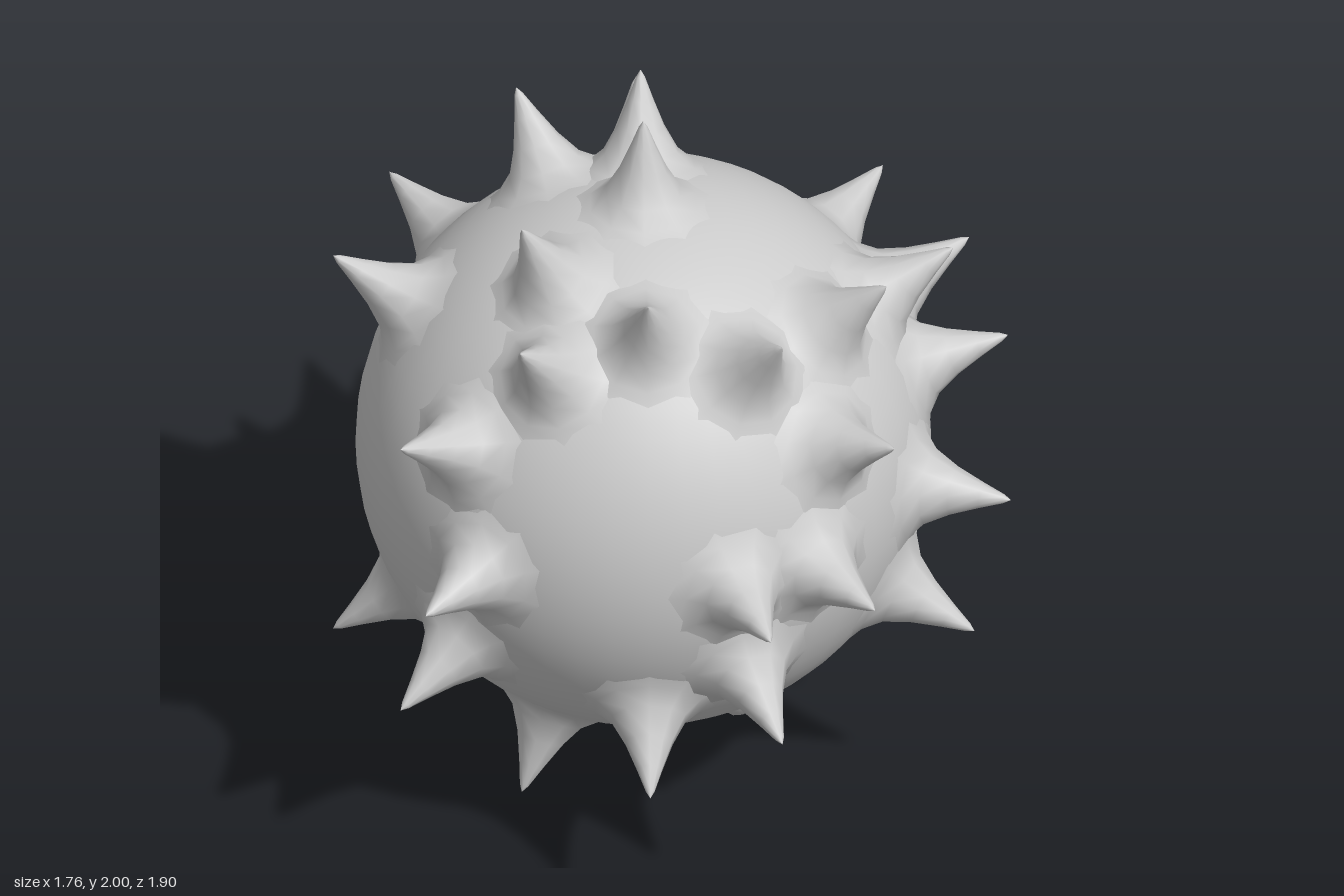
import * as THREE from 'three';

const R = 0.75; // body radius; spike tips reach radius 1

// Flared spike profiles: [distance from axis, distance from body centre]
const SHARP = [[0.21, 0.715], [0.145, 0.742], [0.1, 0.78], [0.064, 0.845], [0.034, 0.92], [0.012, 0.98], [0, 1]];
const BLUNT = [[0.21, 0.715], [0.145, 0.742], [0.1, 0.78], [0.07, 0.84], [0.045, 0.885], [0, 0.9]];

// Spike directions, grouped by height
const SPIKES = [
  // crown
  [0, 1, 0], [0, 0.95, -0.31], [-0.325, 0.89, 0.33], [-0.325, 0.89, -0.33], [0, 0.81, 0.585],
  // upper ring
  [-0.335, 0.7, 0.63], [0.345, 0.7, 0.62], [0.625, 0.7, 0.34],
  [0.81, 0.59, 0], [-0.81, 0.59, 0], [0, 0.59, -0.81],
  [0.635, 0.4, 0.65], [0.635, 0.4, -0.65], [-0.645, 0.41, 0.64], [-0.645, 0.41, -0.64],
  [0.86, 0.39, -0.34], [0.95, 0.31, 0], [0, 0.31, -0.95],
  // equator
  [-0.585, 0, 0.81], [0.585, 0, 0.81], [0.585, 0, -0.81], [0.31, 0, 0.95], [0.955, 0, 0.31],
  // lower ring
  [0.855, -0.39, 0.34], [0.345, -0.39, 0.86], [0.345, -0.39, -0.86], [-0.645, -0.41, 0.64],
  [0, -0.58, 0.81], [0, -0.59, -0.81], [-0.81, -0.59, 0],
  [0.345, -0.69, -0.63], [-0.345, -0.69, -0.63],
  // underside
  [-0.325, -0.89, 0.33], [0, -1, 0],
];

const lathe = (profile) =>
  new THREE.LatheGeometry(profile.map(([r, h]) => new THREE.Vector2(r, h)), 10);

export function createModel() {
  const model = new THREE.Group();
  model.name = 'spikyBall';
  const material = new THREE.MeshStandardMaterial({ color: 0xcccccc });

  // Everything is placed around the ball's centre
  const ball = new THREE.Group();
  ball.name = 'ball';
  ball.position.set(-0.075, 1, 0);
  model.add(ball);

  const body = new THREE.Mesh(new THREE.SphereGeometry(R, 48, 32), material);
  body.name = 'body';
  ball.add(body);

  // Spikes point outwards from the centre
  const up = new THREE.Vector3(0, 1, 0);
  const addSpike = (geometry, dir, name) => {
    const spike = new THREE.Mesh(geometry, material);
    spike.name = name;
    spike.quaternion.setFromUnitVectors(up, new THREE.Vector3(...dir).normalize());
    ball.add(spike);
  };
  const sharp = lathe(SHARP);
  SPIKES.forEach((dir, i) => addSpike(sharp, dir, `spike${i + 1}`));
  addSpike(lathe(BLUNT), [0.29, -0.95, 0], 'bluntSpike');

  return model;
}
